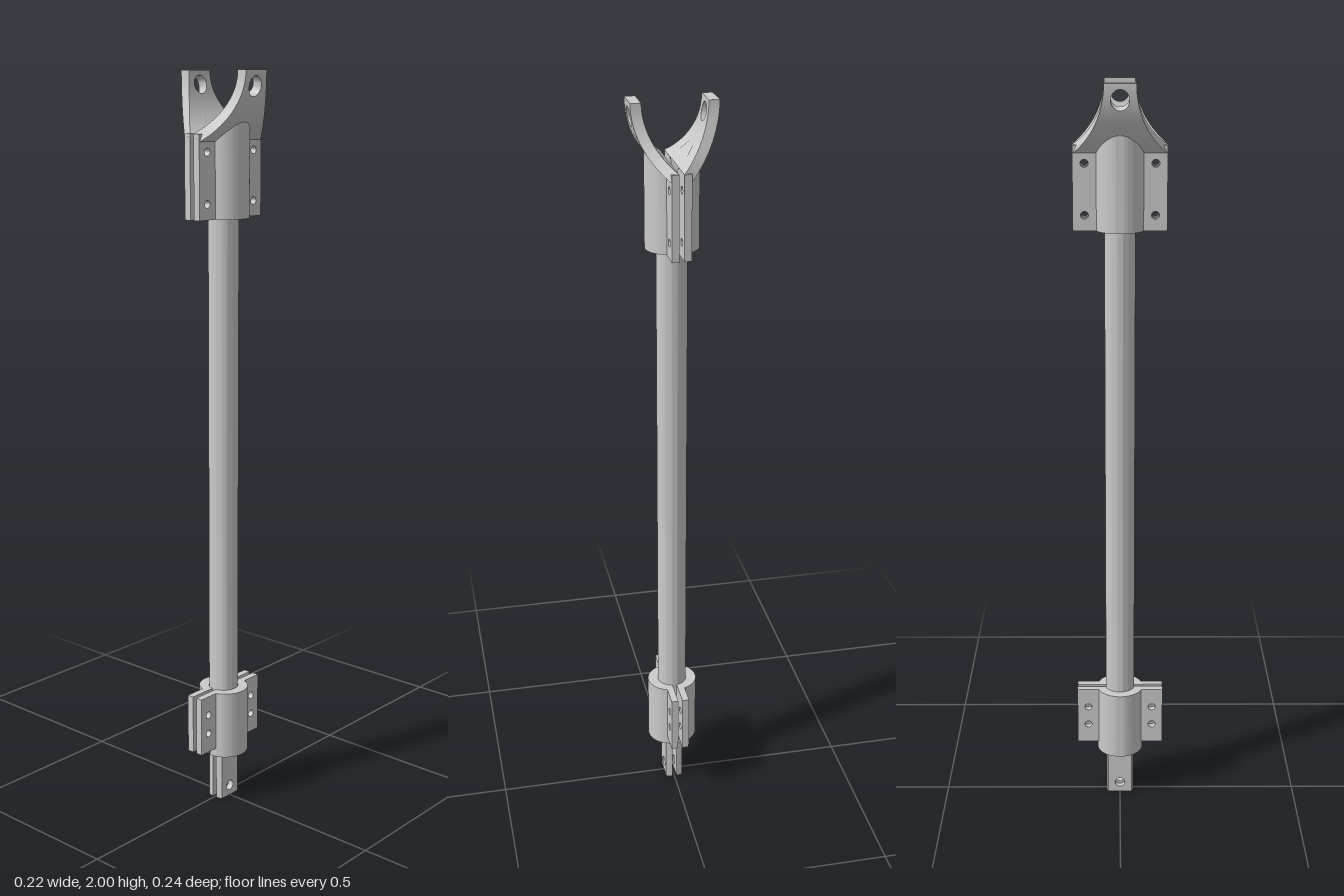
import * as THREE from 'three';
import { toCreasedNormals } from 'three/addons/utils/BufferGeometryUtils.js';

const MAT = new THREE.MeshStandardMaterial({ color: 0xcccccc });
const GAP = 0.006;                 // half the slit between the two clamp halves
const ROD = 0.04, BORE = 0.0405, SLEEVE = 0.063;
const CX = -0.114, R_IN = 0.196, R_OUT = 0.223; // fork arc, centred at (CX, 2)

function part(name, geometry, crease = 0.5) {
  const mesh = new THREE.Mesh(toCreasedNormals(geometry, crease), MAT);
  mesh.name = name;
  return mesh;
}

// Extrude an (x, z) outline upward from y0 to y1
function riseY(shape, y0, y1) {
  const g = new THREE.ExtrudeGeometry(shape, { depth: y1 - y0, bevelEnabled: false, curveSegments: 32 });
  return g.rotateX(-Math.PI / 2).translate(0, y0, 0);
}

// Plate facing x: outline in (z, y), with round holes [z, y, radius]
function plateX(z0, z1, y0, y1, thickness, holes, steps = 1) {
  const s = new THREE.Shape([[z0, y0], [z1, y0], [z1, y1], [z0, y1]].map(p => new THREE.Vector2(...p)));
  for (const [z, y, r] of holes) s.holes.push(new THREE.Path().absarc(z, y, r, 0, Math.PI * 2, true));
  const g = new THREE.ExtrudeGeometry(s, { depth: thickness, steps, bevelEnabled: false, curveSegments: 20 });
  return g.rotateY(Math.PI / 2).translate(GAP, 0, 0);
}

function halfSleeve(y0, y1, hollow) {
  const s = new THREE.Shape();
  s.absarc(GAP, 0, SLEEVE, -Math.PI / 2, Math.PI / 2, false);
  if (hollow) {
    const b = Math.acos(GAP / BORE);
    s.absarc(0, 0, BORE, b, -b, true);
  }
  return riseY(s, y0, y1);
}

function flanges(group, y0, y1, holeYs) {
  for (const side of [-1, 1]) {
    const edges = [side * 0.05, side * 0.12].sort((a, b) => a - b);
    group.add(part('boltFlange', plateX(...edges, y0, y1, 0.019, holeYs.map(y => [side * 0.09, y, 0.01]))));
  }
}

// Curved, tapering fork arm with a pin hole; one z half of it
function forkHalf(side) {
  const tMax = Math.asin(0.155 / R_IN), tHole = Math.asin(0.035 / R_IN), tr = 0.023 / R_IN;
  const rows = [];
  for (let i = 0; i < 14; i++) rows.push([tMax + (tHole + tr - tMax) * i / 14, 0]);
  for (let i = 0; i <= 20; i++) {
    const a = Math.PI * i / 20;
    rows.push([tHole + tr * Math.cos(a), i % 20 ? 0.023 * Math.sin(a) : 0]);
  }
  for (let i = 1; i <= 4; i++) rows.push([(tHole - tr) * (1 - i / 4), 0]);

  const sections = rows.map(([t, lo]) => {
    const at = (r, z) => [CX + r * Math.cos(t), 2 - r * Math.sin(t), side * z];
    const hi = 0.12 - 0.08 * (CX + R_IN * Math.cos(t) - GAP) / 0.076;
    return [at(R_IN, lo), at(R_IN, hi), at(R_OUT, hi), at(R_OUT, lo)];
  });
  const pos = [];
  const quad = (a, b, c, d) => pos.push(...(side > 0 ? [a, b, c, a, c, d] : [a, c, b, a, d, c]).flat());
  for (let i = 0; i < sections.length - 1; i++) {
    const p = sections[i], q = sections[i + 1];
    for (let k = 0; k < 4; k++) {
      if (k === 3 && !rows[i][1] && !rows[i + 1][1]) continue; // open seam between the halves
      const n = (k + 1) % 4;
      quad(p[k], p[n], q[n], q[k]);
    }
  }
  const [a, b, c, d] = sections[0];
  quad(d, c, b, a);
  quad(...sections[sections.length - 1]);
  const g = new THREE.BufferGeometry();
  g.setAttribute('position', new THREE.Float32BufferAttribute(pos, 3));
  return g;
}

function upperHalf() {
  const group = new THREE.Group();
  // Sleeve whose top is trimmed to the fork's arc
  const sleeve = halfSleeve(1.63, 1.845, true);
  const p = sleeve.attributes.position;
  for (let i = 0; i < p.count; i++) {
    if (p.getY(i) < 1.7) continue;
    const r = R_IN + 0.005, dx = p.getX(i) - CX;
    p.setY(i, 2 - Math.sqrt(r * r - dx * dx));
  }
  group.add(part('upperSleeve', sleeve));
  flanges(group, 1.63, 1.845, [1.67, 1.8]);
  for (const side of [-1, 1]) group.add(part('forkArm', forkHalf(side)));
  return group;
}

function lowerHalf() {
  const group = new THREE.Group();
  group.add(part('lowerSleeve', halfSleeve(0.165, 0.33, true)));
  group.add(part('sleeveFloor', halfSleeve(0.14, 0.165, false)));
  flanges(group, 0.165, 0.33, [0.22, 0.275]);
  // Prong with a pin hole, its sides rounded to a cylinder
  const r = 0.038;
  const prong = plateX(-r, r, 0, 0.15, 0.018, [[0, 0.03, 0.014]], 8);
  const p = prong.attributes.position;
  for (let i = 0; i < p.count; i++) {
    const z = p.getZ(i), x = p.getX(i) - GAP;
    if (Math.abs(z) > r - 0.001) p.setZ(i, Math.sign(z) * Math.sqrt(r * r - x * x));
  }
  group.add(part('prong', prong));
  return group;
}

export function createModel() {
  const model = new THREE.Group();
  model.name = 'forkedStrut';

  // Hollow rod
  const wall = [[0.036, 0.165], [ROD, 0.165], [ROD, 1.785], [0.036, 1.785], [0.036, 0.165]];
  model.add(part('rod', new THREE.LatheGeometry(wall.map(p => new THREE.Vector2(...p)), 48)));

  // Each clamp is two identical halves, turned to face each other
  for (const [name, build] of [['upperClamp', upperHalf], ['lowerClamp', lowerHalf]]) {
    for (const side of ['Left', 'Right']) {
      const half = build();
      half.name = name + side;
      if (side === 'Right') half.rotation.y = Math.PI;
      model.add(half);
    }
  }
  return model;
}
